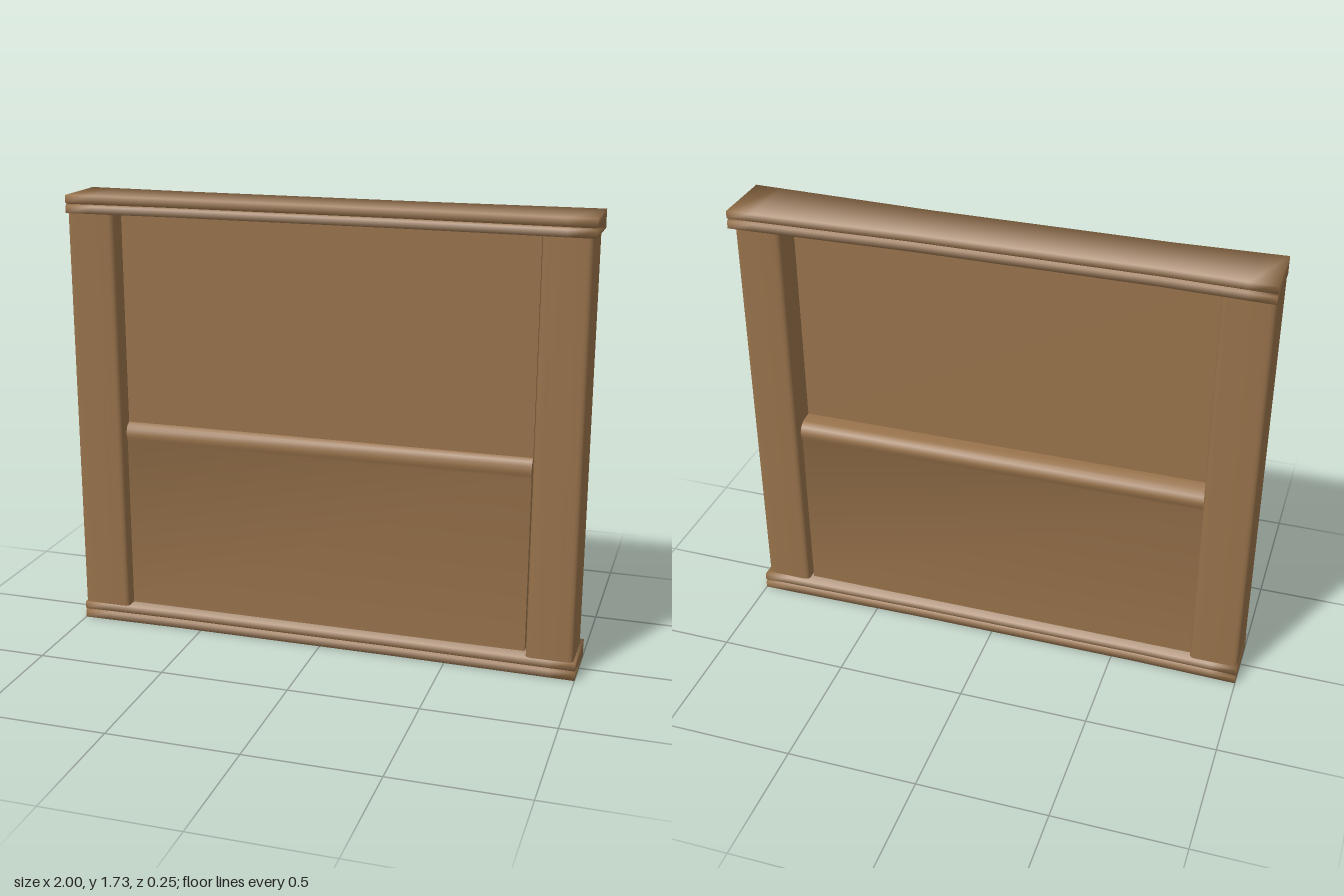
import * as THREE from 'three';
import { toCreasedNormals } from 'three/addons/utils/BufferGeometryUtils.js';

const wood = new THREE.MeshStandardMaterial({ color: 0x96714a });
wood.name = 'brown wood';

function toShape(points) {
  return new THREE.Shape(points.map(([a, b]) => new THREE.Vector2(a, b)));
}

// Extrudes a [z, y] profile along x from x0 to x1
function alongX(profile, x0, x1, steps = 1) {
  const geo = new THREE.ExtrudeGeometry(toShape(profile.map(([z, y]) => [-z, y])), {
    depth: x1 - x0, steps, bevelEnabled: false,
  });
  return geo.rotateY(Math.PI / 2).translate(x0, 0, 0);
}

function part(name, geo, crease) {
  const mesh = new THREE.Mesh(toCreasedNormals(geo, crease), wood);
  mesh.name = name;
  return mesh;
}

// Rail with a shallow groove on both faces, flaring slightly towards its ends
function rail(name, y0, flareLeft, flareRight) {
  const w = 0.107, h = 0.068, g = 0.009;
  const side = [[w, 0], [w, 0.4 * h], [w - g, 0.5 * h], [w, 0.6 * h], [w, h]];
  const profile = [...side, ...side.map(([z, y]) => [-z, y]).reverse()];
  const geo = alongX(profile, -1, 1, 20);
  const p = geo.attributes.position;
  for (let i = 0; i < p.count; i++) {
    const x = p.getX(i);
    const flare = x > 0.3 ? flareLeft * (x - 0.3) / 0.7
      : x < -0.6 ? flareRight * (-0.6 - x) / 0.4 : 0;
    p.setZ(i, p.getZ(i) * (1 + flare / w) - 0.003);
  }
  return part(name, geo.translate(0, y0, 0), 1.65);
}

// Upright post with softened corners
function post(name, x0, x1) {
  const zf = 0.108, zb = -0.1, c = 0.022;
  const s = new THREE.Shape();
  // shape y becomes -z once stood upright
  const lo = -zf, hi = -zb;
  s.moveTo(x0 + c, lo);
  s.lineTo((x0 + x1) / 2, lo);
  s.lineTo(x1 - c, lo);
  s.quadraticCurveTo(x1, lo, x1, lo + c);
  s.lineTo(x1, hi - c);
  s.quadraticCurveTo(x1, hi, x1 - c, hi);
  s.lineTo((x0 + x1) / 2, hi);
  s.lineTo(x0 + c, hi);
  s.quadraticCurveTo(x0, hi, x0, hi - c);
  s.lineTo(x0, lo + c);
  s.quadraticCurveTo(x0, lo, x0 + c, lo);
  const geo = new THREE.ExtrudeGeometry(s, { depth: 1.61, bevelEnabled: false, curveSegments: 4 });
  return part(name, geo.rotateX(-Math.PI / 2).translate(0, 0.06, 0), 0.9);
}

export function createModel() {
  const group = new THREE.Group();
  group.name = 'woodenFrame';

  group.add(rail('bottomRail', 0, 0.01, 0.008));
  group.add(rail('topRail', 1.66, 0.02, 0.014));
  group.add(post('rightPost', -1, -0.81));
  group.add(post('leftPost', 0.81, 0.99));

  // Infill panel: thin upper half, thicker lower half with a rounded ledge
  const front = [[0.055, 0.06], [0.055, 0.755], [0.061, 0.77], [0.063, 0.785],
    [0.06, 0.805], [0.052, 0.82], [0.035, 0.83], [0.035, 1.67]];
  const back = [[0, 1.67], [0, 0.83], [-0.05, 0.826], [-0.072, 0.81],
    [-0.082, 0.79], [-0.08, 0.77], [-0.07, 0.75], [-0.07, 0.06]];
  group.add(part('panel', alongX([...front, ...back], -0.82, 0.80), 0.75));

  return group;
}
